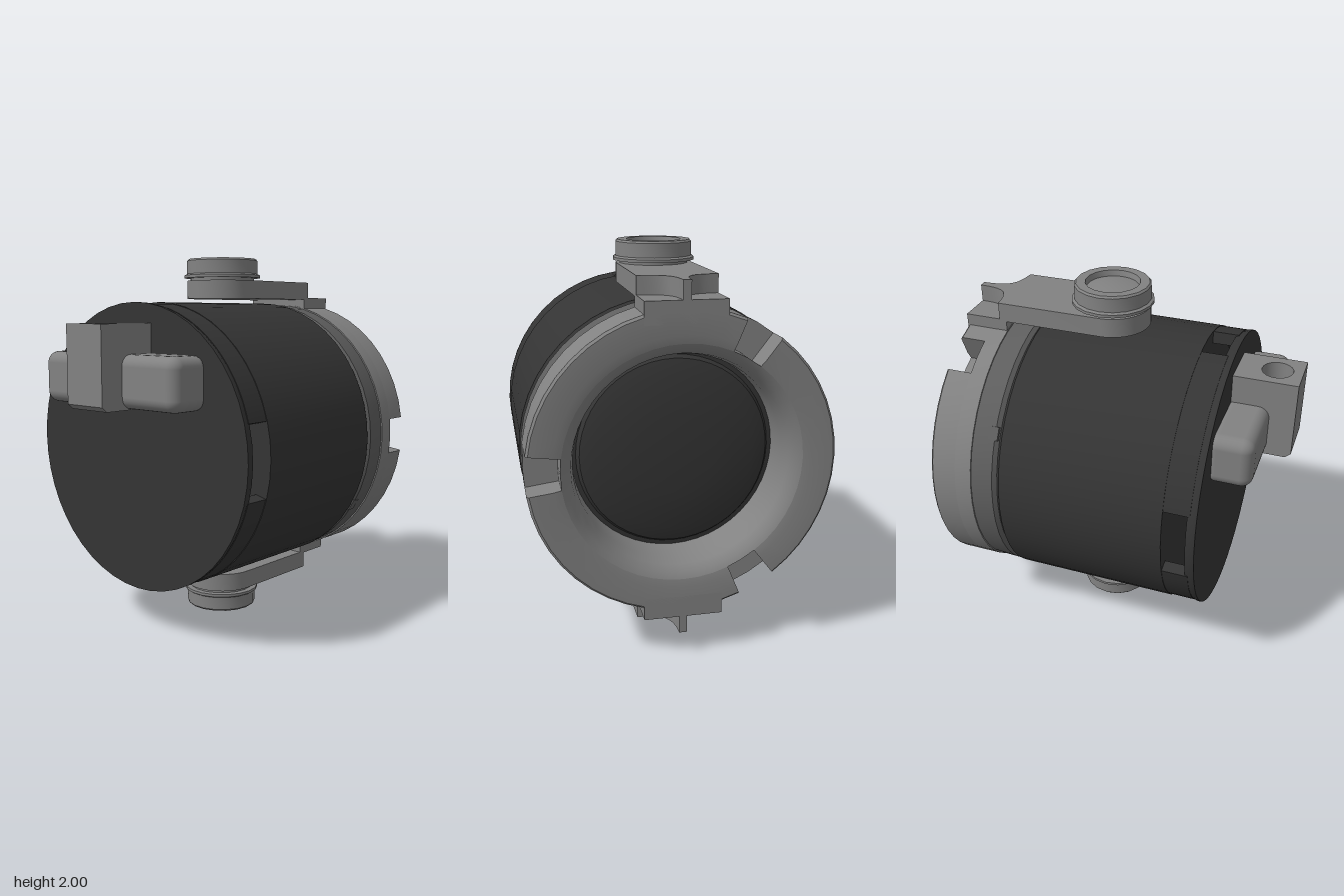
import * as THREE from 'three';
import { toCreasedNormals } from 'three/addons/utils/BufferGeometryUtils.js';
import { RoundedBoxGeometry } from 'three/addons/geometries/RoundedBoxGeometry.js';

const grey = new THREE.MeshStandardMaterial({ color: 0x828282 });
const greyThin = new THREE.MeshStandardMaterial({ color: 0x828282, side: THREE.DoubleSide });
const collarGrey = new THREE.MeshStandardMaterial({ color: 0x5e5e5e });
const dark = new THREE.MeshStandardMaterial({ color: 0x343434 });
const SEG = 48, AXIS = 1; // sides of the barrel, height of its axis

const add = (parent, name, geometry, material) => {
  const mesh = new THREE.Mesh(geometry, material);
  mesh.name = name;
  parent.add(mesh);
  return mesh;
};

const toPoints = (list) => list.map(([a, b]) => new THREE.Vector2(a, b));

// Lathe about the x axis; the profile is [radius, x]
function turnX(profile, start = 0, length = Math.PI * 2, seg = SEG) {
  const g = new THREE.LatheGeometry(toPoints(profile), seg, start, length);
  return toCreasedNormals(g.rotateZ(-Math.PI / 2), 0.6);
}

// Lathe about the y axis; the profile is [radius, y]
const turnY = (profile, seg) =>
  toCreasedNormals(new THREE.LatheGeometry(toPoints(profile), seg), 0.6);

// Plate drawn in x and z, extruded upward from y0 to y1
function plate(shape, y0, y1) {
  const g = new THREE.ExtrudeGeometry(shape, { depth: y1 - y0, bevelEnabled: false, curveSegments: 10 });
  return toCreasedNormals(g.rotateX(-Math.PI / 2).translate(0, y0, 0), 0.5);
}

function rect(x0, z0, x1, z1) {
  return new THREE.Shape(toPoints([[x0, z0], [x1, z0], [x1, z1], [x0, z1]]));
}

function makeBarrel() {
  const barrel = new THREE.Group();
  barrel.name = 'barrel';
  barrel.position.y = AXIS;

  add(barrel, 'barrelBody', turnX([[0, -0.38], [0.757, -0.38], [0.757, 0.49], [0.735, 0.51], [0, 0.51]]), dark);
  add(barrel, 'collar', turnX([[0.7, 0.505], [0.735, 0.51], [0.752, 0.53], [0.748, 0.65]]), collarGrey);
  add(barrel, 'lens', turnX([[0.53, 0.62], [0.49, 0.625], [0.475, 0.65], [0.4, 0.675], [0.2, 0.695], [0, 0.7]]), dark);

  // Rear cover with a hollow, notched rim
  add(barrel, 'rearCover', turnX([[0, -0.55], [0.757, -0.55], [0.757, -0.53], [0.745, -0.5], [0, -0.5]]), dark);
  const side = 0.255, top = 0.155, PI = Math.PI;
  const spans = [[side, PI / 2 - top], [PI / 2 + top, PI - side], [PI + side, 2 * PI - side]];
  for (const [a, b] of spans) {
    const s = new THREE.Shape();
    s.absarc(0, 0, 0.753, a, b, false);
    s.absarc(0, 0, 0.69, b, a, true);
    const g = new THREE.ExtrudeGeometry(s, { depth: 0.14, bevelEnabled: false, curveSegments: 16 });
    g.rotateY(PI / 2).translate(-0.515, 0, 0);
    add(barrel, 'rearRim', toCreasedNormals(g, 0.6), dark);
  }

  // Small catches on the collar
  for (const s of [1, -1]) {
    const lug = add(barrel, 'collarCatch', new THREE.BoxGeometry(0.05, 0.07, 0.03), collarGrey);
    lug.position.set(0.54, -0.38 * s, 0.632 * s);
    lug.rotation.x = Math.atan2(0.38, 0.632);
  }
  return barrel;
}

function makeFrontRing() {
  const ring = new THREE.Group();
  ring.name = 'frontRing';
  ring.position.y = AXIS;

  // Continuous base and rounded inner lip
  add(ring, 'ringBase', turnX([[0.515, 0.65], [0.755, 0.65], [0.755, 0.74], [0.59, 0.74]]), grey);
  add(ring, 'ringLip', turnX([[0.59, 0.74], [0.59, 0.872], [0.56, 0.855], [0.535, 0.815], [0.52, 0.75], [0.512, 0.61]]), grey);

  // Outer part in three arcs, leaving a notch between them
  const profile = [[0.755, 0.74], [0.755, 0.868], [0.743, 0.88], [0.63, 0.88], [0.59, 0.872]];
  const step = (2 * Math.PI) / SEG;
  for (let i = 0; i < 3; i++) {
    const start = (i * 16 + 1) * step;
    const length = 14 * step;
    add(ring, 'ringArc', turnX(profile, start, length, 14), grey);
    for (const phi of [start, start + length]) {
      const end = new THREE.ShapeGeometry(new THREE.Shape(toPoints([[0.59, 0.74], ...profile])));
      end.rotateY(phi - Math.PI / 2).rotateZ(-Math.PI / 2);
      add(ring, 'notchWall', end, greyThin);
    }
  }
  return ring;
}

// Arm and knob, in heights above the barrel axis
function makeMount(name) {
  const mount = new THREE.Group();
  mount.name = name;

  // Arm is rounded under the knob and narrows to a thin web at the ring
  const s = new THREE.Shape();
  s.moveTo(0.13, -0.197);
  s.lineTo(0.69, -0.197);
  s.bezierCurveTo(0.7, -0.06, 0.73, -0.02, 0.88, -0.02);
  s.lineTo(0.88, 0.02);
  s.bezierCurveTo(0.73, 0.02, 0.7, 0.06, 0.69, 0.197);
  s.lineTo(0.13, 0.197);
  s.absarc(0.13, 0, 0.197, Math.PI / 2, Math.PI * 1.5, false);
  add(mount, 'arm', plate(s, 0.78, 0.88), grey);
  add(mount, 'armFoot', plate(rect(0.652, -0.197, 0.88, 0.197), 0.68, 0.79), grey);

  // Knob with flange and a domed recess
  const knob = add(mount, 'knob', turnY([
    [0.18, 0.87], [0.18, 0.895], [0.214, 0.895], [0.214, 0.91], [0.2, 0.918], [0.199, 0.99],
    [0.19, 1], [0.142, 1], [0.135, 0.97], [0.08, 0.98], [0, 0.984],
  ], 18), grey);
  knob.position.x = 0.13;
  return mount;
}

function makeHandle() {
  const handle = new THREE.Group();
  handle.name = 'rearHandle';
  handle.position.z = -0.01;

  const bar = add(handle, 'crossbar', new RoundedBoxGeometry(0.24, 0.27, 0.98, 4, 0.06), grey);
  bar.position.set(-0.63, 1.365, 0);

  // Block with chamfered lower edge
  const side = new THREE.Shape(toPoints([
    [-0.54, 1.225], [-0.54, 1.51], [-0.88, 1.51], [-0.88, 1.25], [-0.85, 1.225],
  ]));
  const lower = new THREE.ExtrudeGeometry(side, { depth: 0.26, bevelEnabled: false });
  add(handle, 'blockBase', lower.translate(0, 0, -0.13), grey);

  // Upper block with a round socket
  const top = rect(-0.88, -0.13, -0.54, 0.13);
  const hole = new THREE.Path();
  hole.absarc(-0.75, 0, 0.08, 0, Math.PI * 2, true);
  top.holes.push(hole);
  add(handle, 'blockTop', plate(top, 1.51, 1.65), grey);
  return handle;
}

export function createModel() {
  const model = new THREE.Group();
  model.name = 'cameraHousing';
  model.add(makeBarrel(), makeFrontRing(), makeHandle());

  const upper = makeMount('upperMount');
  const lower = makeMount('lowerMount');
  lower.rotation.x = Math.PI;
  for (const mount of [upper, lower]) {
    mount.position.y = AXIS;
    model.add(mount);
  }
  return model;
}
